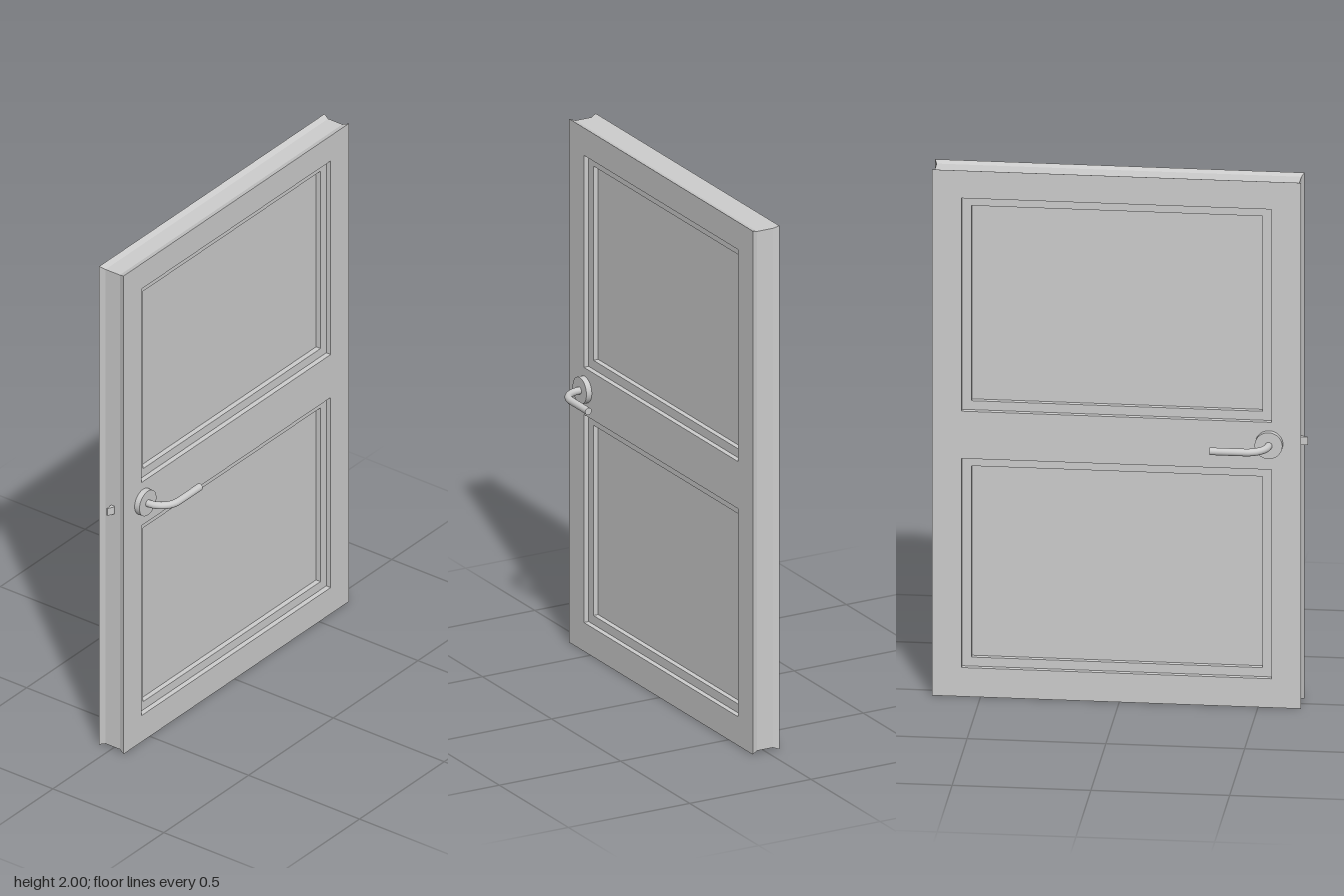
import * as THREE from 'three';

const material = new THREE.MeshStandardMaterial({ color: 0xcccccc });
const X0 = -0.655, X1 = 0.675, H = 2, T = 0.055;   // door slab, half thickness T
const CX = (X0 + X1) / 2;
const STEP = 0.02;                                 // depth of each panel step

function add(parent, name, geometry) {
  const mesh = new THREE.Mesh(geometry, material);
  mesh.name = name;
  parent.add(mesh);
  return mesh;
}

// Joins successive rectangles [x0, y0, x1, y1, z] with flat strips.
function rectLoft(rings) {
  const corners = ([x0, y0, x1, y1, z]) => [[x0, y0, z], [x1, y0, z], [x1, y1, z], [x0, y1, z]];
  const pos = [];
  for (let r = 0; r < rings.length - 1; r++) {
    const a = corners(rings[r]), b = corners(rings[r + 1]);
    for (let i = 0; i < 4; i++) {
      const j = (i + 1) % 4;
      pos.push(...a[i], ...a[j], ...b[j], ...a[i], ...b[j], ...b[i]);
    }
  }
  const g = new THREE.BufferGeometry();
  g.setAttribute('position', new THREE.Float32BufferAttribute(pos, 3));
  g.computeVertexNormals();
  return g;
}

function rectPath(path, x0, y0, x1, y1) {
  path.moveTo(x0, y0);
  path.lineTo(x1, y0);
  path.lineTo(x1, y1);
  path.lineTo(x0, y1);
  path.closePath();
  return path;
}

// One side of the door: flat frame with two panels, each sunk in two steps.
function createFace(name) {
  const face = new THREE.Group();
  face.name = name;
  const w = (X1 - X0) / 2, outer = 0.558, inner = 0.524;
  const frame = rectPath(new THREE.Shape(), -w, 0, w, H);
  for (const [label, y0, y1] of [['lower', 0.11, 0.905], ['upper', 1.085, 1.895]]) {
    frame.holes.push(rectPath(new THREE.Path(), -outer, y0, outer, y1));
    const a = [-outer, y0, outer, y1];
    const b = [-inner, y0 + 0.034, inner, y1 - 0.034];
    add(face, label + 'PanelMoulding', rectLoft([
      [...a, T], [...a, T - STEP], [...b, T - STEP], [...b, T - 2 * STEP]]));
    const panel = new THREE.PlaneGeometry(2 * inner, b[3] - b[1]);
    panel.translate(0, (b[1] + b[3]) / 2, T - 2 * STEP);
    add(face, label + 'Panel', panel);
  }
  const sheet = new THREE.ShapeGeometry(frame);
  sheet.translate(0, 0, T);
  add(face, 'frame', sheet);
  face.position.x = CX;
  return face;
}

// Round rose with a bent lever; side is +1 for the front, -1 for the back.
function createHandle(name, side) {
  const handle = new THREE.Group();
  handle.name = name;
  handle.position.set(-0.54, 1.003, 0);
  const rose = new THREE.CylinderGeometry(0.05, 0.05, 0.024, 40);
  rose.rotateX(Math.PI / 2);
  rose.translate(0, 0, side * (T + 0.01));
  add(handle, 'rose', rose);

  const r = 0.0135, reach = 0.156, bend = 0.078, end = 0.203;
  const p = (x, z) => new THREE.Vector3(x, 0, side * z);
  const points = [p(0, T), p(0, reach - bend)];
  for (let i = 1; i <= 12; i++) {
    const t = (i / 12) * Math.PI / 2;
    points.push(p(bend * (1 - Math.cos(t)), reach - bend + bend * Math.sin(t)));
  }
  points.push(p(end, reach));
  add(handle, 'lever', new THREE.TubeGeometry(
    new THREE.CatmullRomCurve3(points, false, 'centripetal'), 64, r, 20));
  const cap = new THREE.CircleGeometry(r, 20);
  cap.rotateY(Math.PI / 2);
  cap.translate(end, 0, side * reach);
  add(handle, 'leverEnd', cap);
  return handle;
}

export function createModel() {
  const door = new THREE.Group();
  door.name = 'door';

  const front = createFace('frontFace');
  const back = createFace('backFace');
  back.rotation.y = Math.PI;
  door.add(front, back);

  // Outer rim with a shallow channel all the way round
  const rim = [[0, -T], [0.008, -0.032], [0.008, 0.032], [0, T]];
  add(door, 'edgeChannel', rectLoft(rim.map(([d, z]) => [X0 + d, d, X1 - d, H - d, z])));

  door.add(createHandle('frontHandle', 1), createHandle('backHandle', -1));

  // Bevelled latch bolt in the left-hand edge
  const bolt = new THREE.Shape();
  bolt.moveTo(-0.64, -0.009);
  bolt.lineTo(-0.64, 0.006);
  bolt.lineTo(-0.675, 0.006);
  bolt.lineTo(-0.675, 0.002);
  bolt.lineTo(-0.655, -0.009);
  bolt.closePath();
  const latch = new THREE.ExtrudeGeometry(bolt, { depth: 0.03, bevelEnabled: false });
  latch.rotateX(-Math.PI / 2);
  latch.translate(0, 0.986, 0);
  add(door, 'latchBolt', latch);

  return door;
}
